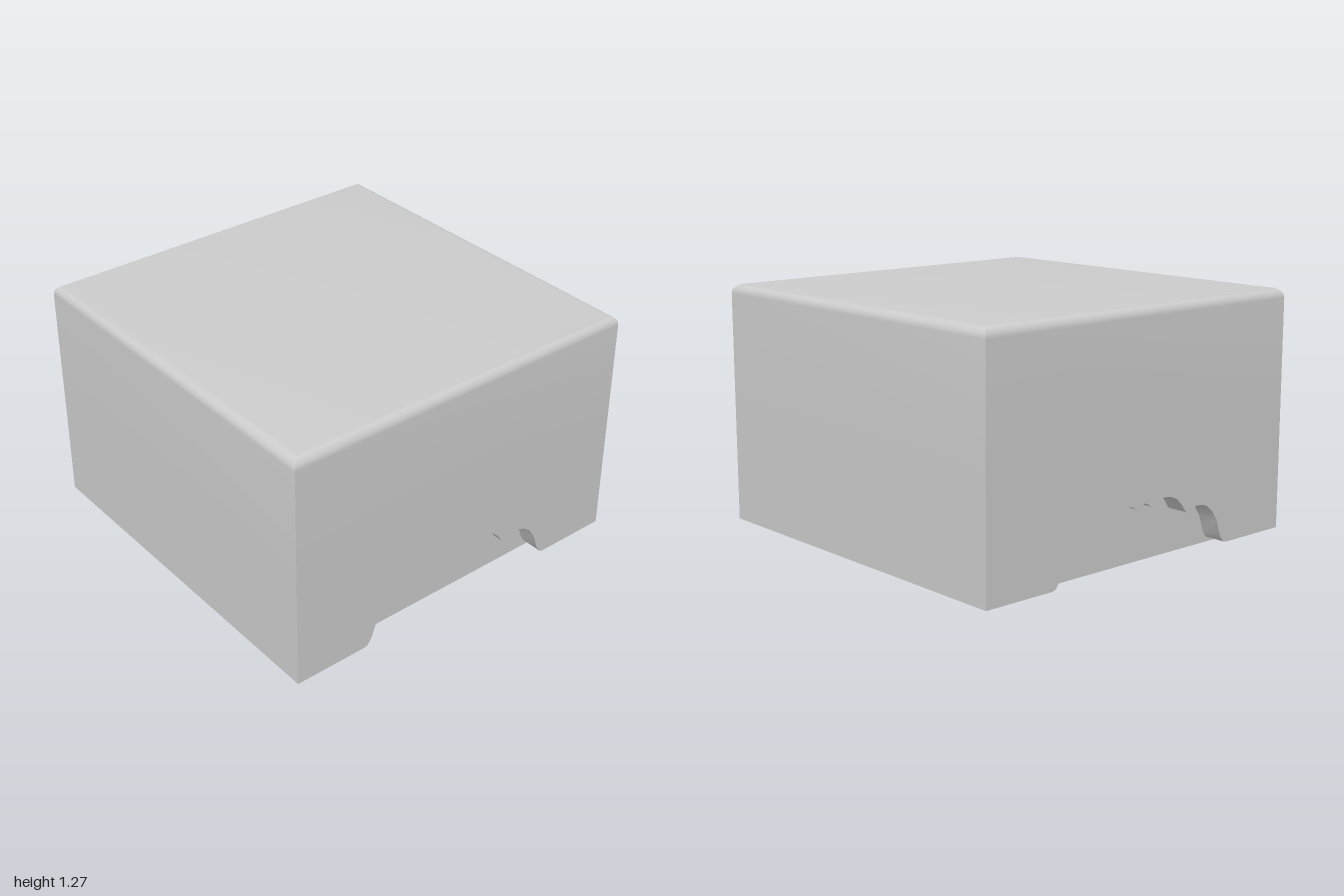
import * as THREE from 'three';
import { toCreasedNormals } from 'three/addons/utils/BufferGeometryUtils.js';

const BASE = 0.02, SPLIT = 0.6, TOP = 1.275, ROUND = 0.05;
const WALL = 0.115, INNER = 1 - WALL;

export function createModel() {
  const model = new THREE.Group();
  const material = new THREE.MeshStandardMaterial({ color: 0xcccccc });

  const add = (name, geometry, x, y, z) => {
    const mesh = new THREE.Mesh(geometry, material);
    mesh.name = name;
    mesh.position.set(x, y, z);
    model.add(mesh);
  };

  // Upper body: a square lathe with rounded top edges and sharp upright corners
  const profile = [new THREE.Vector2(1, SPLIT)];
  for (let i = 0; i <= 8; i++) {
    const a = (i / 8) * Math.PI / 2;
    profile.push(new THREE.Vector2(
      1 - ROUND + ROUND * Math.cos(a), TOP - ROUND + ROUND * Math.sin(a)));
  }
  profile.push(new THREE.Vector2(0, TOP));
  profile.forEach((p) => { p.x *= Math.SQRT2; });
  const cap = new THREE.LatheGeometry(profile, 4, Math.PI / 4);
  add('upperBody', toCreasedNormals(cap, 0.6), 0, 0, 0);

  // Half of the scalloped arch, from the foot to the centre
  const half = [
    [0.6, BASE], [0.58, 0.026], [0.555, 0.06], [0.525, 0.15], [0.49, 0.2],
    [0.45, 0.234], [0.415, 0.246], [0.375, 0.25], [0.335, 0.245], [0.295, 0.23],
    [0.262, 0.277], [0.225, 0.31], [0.185, 0.328], [0.14, 0.333], [0.09, 0.326],
    [0.045, 0.304],
  ];
  const mirrored = half.map(([z, y]) => [-z, y]).reverse();
  const outline = [
    [-1, BASE], [-1, SPLIT], [1, SPLIT], [1, BASE],
    ...half, [0.02, 0.321], [0, 0.328], [-0.02, 0.321], ...mirrored,
  ];
  const wallShape = new THREE.Shape(outline.map(([z, y]) => new THREE.Vector2(z, y)));

  // Side walls with the arched openings
  const sideWall = toCreasedNormals(
    new THREE.ExtrudeGeometry(wallShape, { depth: WALL, bevelEnabled: false })
      .rotateY(Math.PI / 2), 0.6);
  add('leftArchedWall', sideWall, INNER, 0, 0);
  add('rightArchedWall', sideWall, -1, 0, 0);

  // Plain front and back walls between them
  const plainWall = new THREE.BoxGeometry(2 * INNER, SPLIT - BASE, WALL);
  for (const [name, s] of [['frontWall', 1], ['backWall', -1]]) {
    add(name, plainWall, 0, (SPLIT + BASE) / 2, s * (1 - WALL / 2));
  }

  // Inner core, seen through the arches and standing just below the walls
  add('innerCore', new THREE.BoxGeometry(2 * INNER, SPLIT, 2 * INNER), 0, SPLIT / 2, 0);

  return model;
}
